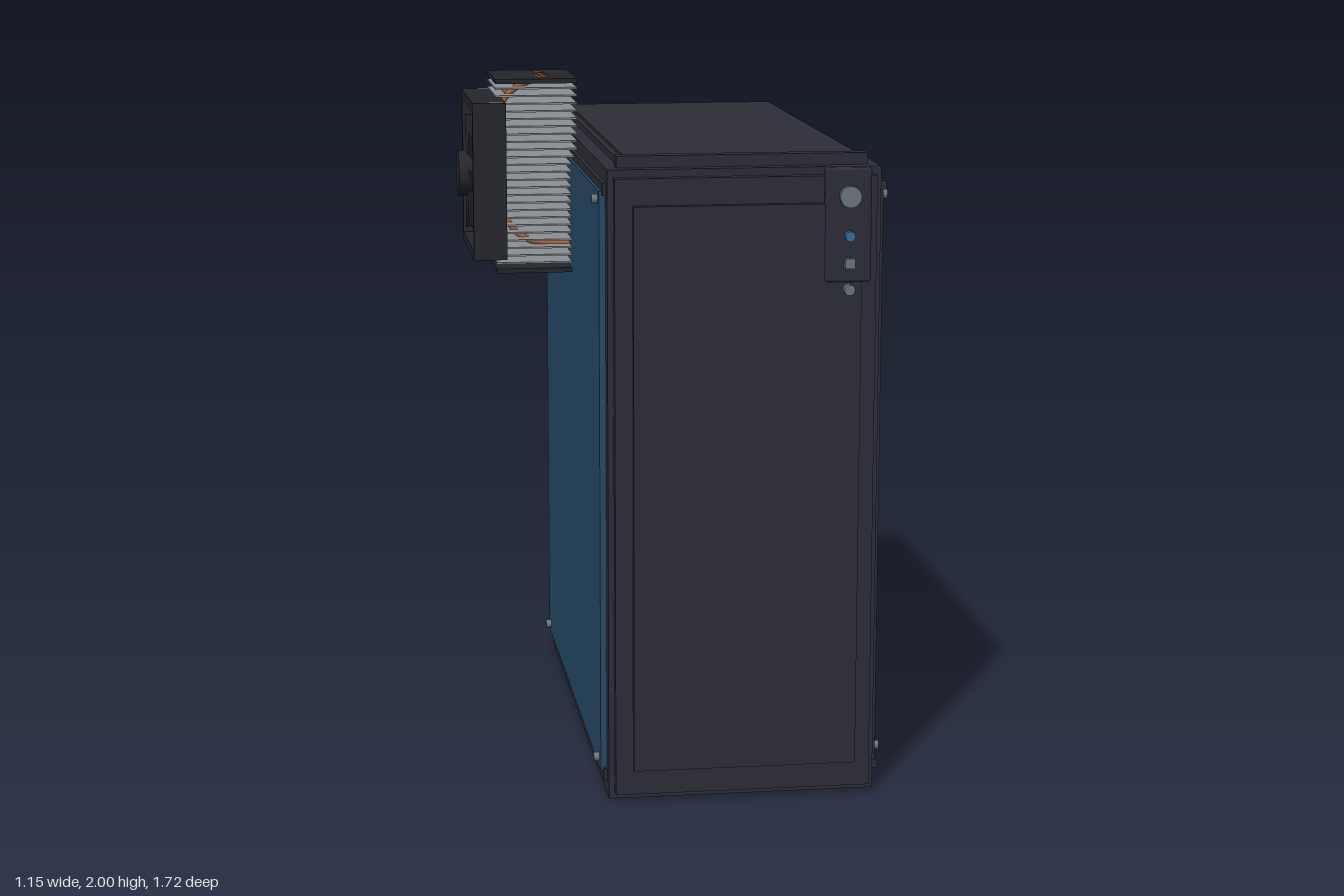
import * as THREE from 'three';
import { RoundedBoxGeometry } from 'three/addons/geometries/RoundedBoxGeometry.js';

const mat = (name, color) => {
  const m = new THREE.MeshStandardMaterial({ color });
  m.name = name;
  return m;
};

export function createModel() {
  const root = new THREE.Group();
  root.name = 'computerTower';
  const dark = mat('charcoal', 0x2d2e36);
  const black = mat('fanBlack', 0x25262c);
  const glass = mat('blueGlass', 0x264a68);
  const steel = mat('steelGrey', 0x6b767b);
  const metal = mat('finMetal', 0x8a8f94);
  const copper = mat('copper', 0xb5622e);
  const blue = mat('buttonBlue', 0x2f6fa5);

  const add = (name, geo, m, parent = root) => {
    const mesh = new THREE.Mesh(geo, m);
    mesh.name = name;
    parent.add(mesh);
    return mesh;
  };
  // Box given by its minimum and maximum on each axis
  const box = (name, m, [x0, x1], [y0, y1], [z0, z1], parent = root, r = 0) => {
    const s = [x1 - x0, y1 - y0, z1 - z0];
    const geo = r ? new RoundedBoxGeometry(...s, 2, r) : new THREE.BoxGeometry(...s);
    const b = add(name, geo, m, parent);
    b.position.set((x0 + x1) / 2, (y0 + y1) / 2, (z0 + z1) / 2);
    return b;
  };
  // Cylinder lying along x or z
  const rod = (name, m, r, len, axis, x, y, z, parent = root) => {
    const geo = new THREE.CylinderGeometry(r, r, len, 24);
    if (axis === 'x') geo.rotateZ(Math.PI / 2);
    else geo.rotateX(Math.PI / 2);
    const c = add(name, geo, m, parent);
    c.position.set(x, y, z);
    return c;
  };

  // Case
  box('caseBody', dark, [-0.23, 0.54], [0, 1.815], [-0.82, 0.77]);
  box('topPanel', dark, [-0.175, 0.485], [1.81, 1.845], [-0.76, 0.69]);
  box('topFrontBar', dark, [-0.2, 0.51], [1.81, 1.848], [0.685, 0.73]);
  for (const x of [-0.19, 0.485]) box('topRail', dark, [x, x + 0.015], [1.81, 1.835], [-0.76, 0.69]);

  // Raised border around the rear
  for (const x of [-0.23, 0.5]) box('rearUpright', dark, [x, x + 0.04], [0, 1.815], [-0.826, -0.815]);
  for (const y of [0, 1.775]) box('rearCrossbar', dark, [-0.19, 0.5], [y, y + 0.04], [-0.826, -0.815]);

  // Stepped front
  box('frontGap', dark, [-0.2, 0.51], [0.05, 1.77], [0.77, 0.785]);
  box('frontBezel', dark, [-0.215, 0.52], [0.025, 1.795], [0.78, 0.815]);
  box('frontDoor', dark, [-0.165, 0.475], [0.1, 1.72], [0.81, 0.835]);
  box('controlPanel', dark, [0.37, 0.5], [1.5, 1.82], [0.8, 0.843], root, 0.008);
  rod('powerButton', steel, 0.03, 0.02, 'z', 0.437, 1.74, 0.85);
  rod('blueButton', blue, 0.014, 0.02, 'z', 0.437, 1.63, 0.85);
  box('port', steel, [0.423, 0.451], [1.54, 1.568], [0.84, 0.86]);
  rod('lowerButton', steel, 0.015, 0.03, 'z', 0.437, 1.48, 0.845);

  // Side panels with top and bottom rails
  box('sidePanel', dark, [0.53, 0.553], [0.07, 1.745], [-0.78, 0.74]);
  box('glassPanel', glass, [-0.248, -0.23], [0.07, 1.75], [-0.78, 0.725]);
  for (const y of [0.05, 1.745]) {
    box('sideRail', dark, [0.53, 0.56], [y, y + 0.025], [-0.785, 0.745]);
    box('glassRail', dark, [-0.24, -0.22], [y - 0.005, y + 0.03], [-0.79, 0.74]);
  }
  for (const y of [0.1, 1.725]) for (const z of [-0.728, 0.685]) {
    rod('sideScrew', steel, 0.013, 0.025, 'x', 0.562, y, z);
    rod('glassScrew', steel, 0.013, 0.02, 'x', -0.255, y, z);
  }

  // Rear fittings
  box('rearPortPlate', dark, [0.045, 0.265], [1, 1.41], [-0.858, -0.82], root, 0.01);
  for (let i = 0; i < 7; i++) {
    const y = 0.652 + i * 0.0555;
    box('slotCover', steel, [-0.2, 0.18], [y - 0.018, y + 0.018], [-0.86, -0.82]);
  }
  box('powerSupplyPlate', steel, [-0.11, 0.42], [0.17, 0.545], [-0.843, -0.81]);

  // Cooler fins
  const cooler = new THREE.Group();
  cooler.name = 'cooler';
  root.add(cooler);
  const fx = [-0.475, -0.23], fz = [-0.305, 0.005];
  for (let i = 1; i < 25; i++) {
    const y = 1.42 + i * 0.0229;
    box('fin', metal, fx, [y - 0.0025, y + 0.0025], fz, cooler);
  }
  box('coolerTopPlate', black, fx, [1.984, 1.998], fz, cooler);
  box('coolerBasePlate', black, fx, [1.412, 1.426], fz, cooler);

  // Curved heat pipes
  const path = [[-0.315, 1.992], [-0.37, 1.985], [-0.435, 1.945], [-0.465, 1.87], [-0.468, 1.7],
    [-0.45, 1.59], [-0.385, 1.51], [-0.23, 1.49]];
  for (const z of [-0.065, -0.12, -0.175, -0.23]) {
    const curve = new THREE.CatmullRomCurve3(path.map(([x, y]) => new THREE.Vector3(x, y, z)));
    add('heatPipe', new THREE.TubeGeometry(curve, 40, 0.01, 10), copper, cooler);
    const tip = add('heatPipeTip', new THREE.CylinderGeometry(0.008, 0.008, 0.02, 12), copper, cooler);
    tip.position.set(-0.315, 1.99, z);
  }

  // Square fan frame, extruded along x
  const fan = new THREE.Group();
  fan.name = 'fan';
  fan.position.set(-0.5, 1.7, -0.15);
  cooler.add(fan);
  const square = (Kind, h) => new Kind([[-h, -h], [h, -h], [h, h], [-h, h]].map(p => new THREE.Vector2(...p)));
  const frame = square(THREE.Shape, 0.235);
  frame.holes.push(square(THREE.Path, 0.21));
  const frameGeo = new THREE.ExtrudeGeometry(frame, { depth: 0.1, bevelEnabled: false });
  frameGeo.translate(0, 0, -0.05).rotateY(Math.PI / 2);
  add('fanFrame', frameGeo, black, fan);
  for (const y of [-1, 1]) for (const z of [-1, 1]) {
    rod('fanScrew', steel, 0.011, 0.045, 'x', 0.022, y * 0.227, z * 0.215, fan);
  }

  // Hub, struts and tilted blades
  rod('fanHub', black, 0.07, 0.09, 'x', -0.035, 0, 0, fan);
  box('fanStrut', black, [0.025, 0.04], [-0.215, 0.215], [-0.008, 0.008], fan);
  box('fanStrut', black, [0.025, 0.04], [-0.008, 0.008], [-0.215, 0.215], fan);
  rod('fanMotor', black, 0.06, 0.04, 'x', 0.02, 0, 0, fan);
  for (let i = 0; i < 7; i++) {
    const blade = new THREE.BoxGeometry(0.006, 0.125, 0.075);
    blade.rotateY(0.6).translate(-0.03, 0.115, 0).rotateX((i / 7) * Math.PI * 2);
    add('fanBlade', blade, black, fan);
  }
  return root;
}
